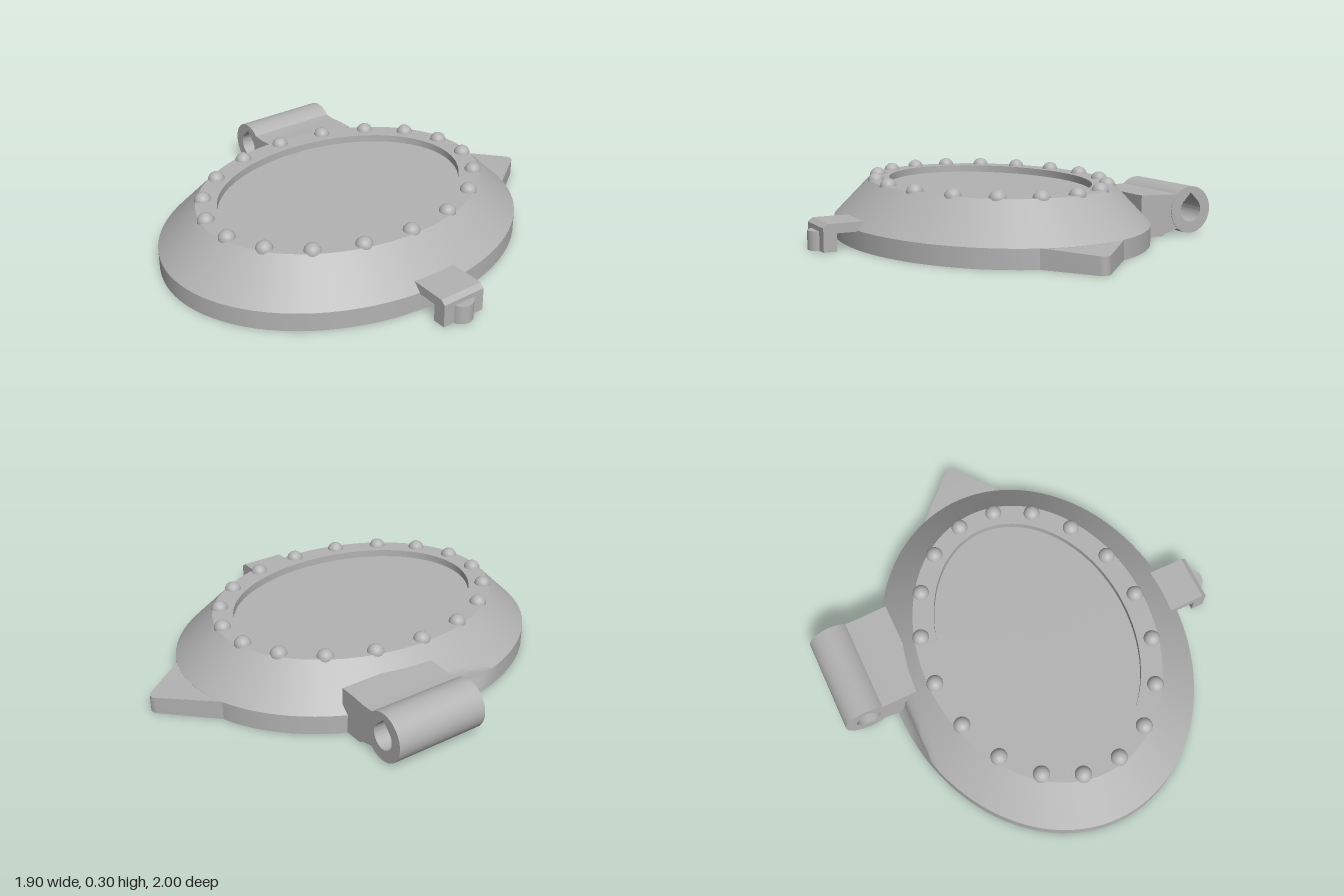
import * as THREE from 'three';
import { toCreasedNormals } from 'three/addons/utils/BufferGeometryUtils.js';

const CX = 0.028, CZ = 0.095;          // centre of the oval body
const HINGE = { x: -0.84, y: 0.12, r: 0.115 };

export function createModel() {
  const model = new THREE.Group();
  const grey = new THREE.MeshStandardMaterial({ color: 0xb3b3b3 });
  grey.name = 'grey';

  const add = (name, geometry, x = 0, y = 0, z = 0) => {
    const mesh = new THREE.Mesh(geometry, grey);
    mesh.name = name;
    mesh.position.set(x, y, z);
    model.add(mesh);
    return mesh;
  };
  const polygon = (pts) => new THREE.Shape(pts.map(([a, b]) => new THREE.Vector2(a, b)));
  const extrude = (shape, depth) => toCreasedNormals(
    new THREE.ExtrudeGeometry(shape, { depth, bevelEnabled: false, curveSegments: 24 }), 0.5);

  // Oval body: a lathe whose rings get their own x and z radii
  const rings = [ // [x radius, z radius, y]
    [0, 0, 0.145], [0.39, 0.49, 0.145], [0.51, 0.635, 0],
    [0.726, 0.905, 0], [0.726, 0.905, 0.03], [0.726, 0.905, 0.06], [0.726, 0.905, 0.09],
    [0.698, 0.874, 0.12], [0.669, 0.843, 0.15], [0.641, 0.812, 0.18], [0.555, 0.72, 0.27],
    [0.452, 0.622, 0.27], [0.452, 0.622, 0.235], [0, 0, 0.235],
  ];
  const body = new THREE.LatheGeometry(rings.map(([r, , y]) => new THREE.Vector2(r, y)), 96);
  const p = body.attributes.position;
  for (let i = 0; i < p.count; i++) {
    const [rx, rz] = rings[i % rings.length];
    if (rx > 0) p.setZ(i, p.getZ(i) * rz / rx);
    // Scoop that clears the hinge barrel
    const dy = p.getY(i) - HINGE.y;
    const clear = HINGE.x + Math.sqrt(Math.max(0, 0.186 ** 2 - dy * dy)) - CX;
    if (p.getX(i) < clear) p.setX(i, clear);
  }
  add('body', toCreasedNormals(body, 0.5), CX, 0, CZ);

  // Ring of rivets around the rim
  const rivet = new THREE.SphereGeometry(0.04, 20, 14);
  for (let i = 0; i < 18; i++) {
    const a = i * Math.PI / 9;
    add('rivet', rivet, CX + 0.523 * Math.cos(a), 0.264, CZ + 0.69 * Math.sin(a));
  }

  // Pointed tab at the back, its top falling slightly towards the tip
  const tabShape = polygon([[-0.19, 0.765], [-0.17, 0.785], [0.025, 0.985], [0.04, 0.997],
    [0.055, 1.0], [0.07, 0.995], [0.08, 0.985], [0.22, 0.79], [0.24, 0.765], [0.2, 0.6], [-0.15, 0.6]].reverse());
  const tab = new THREE.ExtrudeGeometry(tabShape, { depth: 0.09, bevelEnabled: false });
  tab.rotateX(-Math.PI / 2);
  const t = tab.attributes.position;
  for (let i = 0; i < t.count; i++) {
    if (t.getY(i) > 0.05) t.setY(i, 0.09 - 0.05 * Math.max(0, -t.getZ(i) - 0.8));
  }
  add('backTab', toCreasedNormals(tab, 0.5));

  // Hinge barrel with a teardrop bore
  const barrel = new THREE.Shape().absarc(0, 0, HINGE.r, 0, Math.PI * 2);
  const bore = new THREE.Path();
  bore.moveTo(0, 0.085);
  bore.absarc(0, 0, 0.06, Math.PI * 0.75, Math.PI * 2.25, false);
  bore.lineTo(0, 0.085);
  barrel.holes.push(bore);
  add('hingeBarrel', extrude(barrel, 0.46), HINGE.x, HINGE.y, -0.385);

  // Arm joining the barrel to the body
  add('hingeArm', extrude(polygon([[-0.765, 0.032], [-0.69, 0.012], [-0.68, 0.001], [-0.55, 0.001],
    [-0.55, 0.208], [-0.63, 0.207], [-0.7, 0.2], [-0.768, 0.203]]), 0.457), 0, 0, -0.382);

  // Clasp: a hooked plate with a rounded catch
  add('clasp', extrude(polygon([[0.64, 0.085], [0.845, 0.085], [0.845, 0.002], [0.908, 0.002],
    [0.908, 0.112], [0.885, 0.13], [0.64, 0.13]]), 0.22), 0, 0, -0.015);
  add('claspCatch', new THREE.CylinderGeometry(0.056, 0.056, 0.09, 24), 0.889, 0.045, 0.095);

  return model;
}
